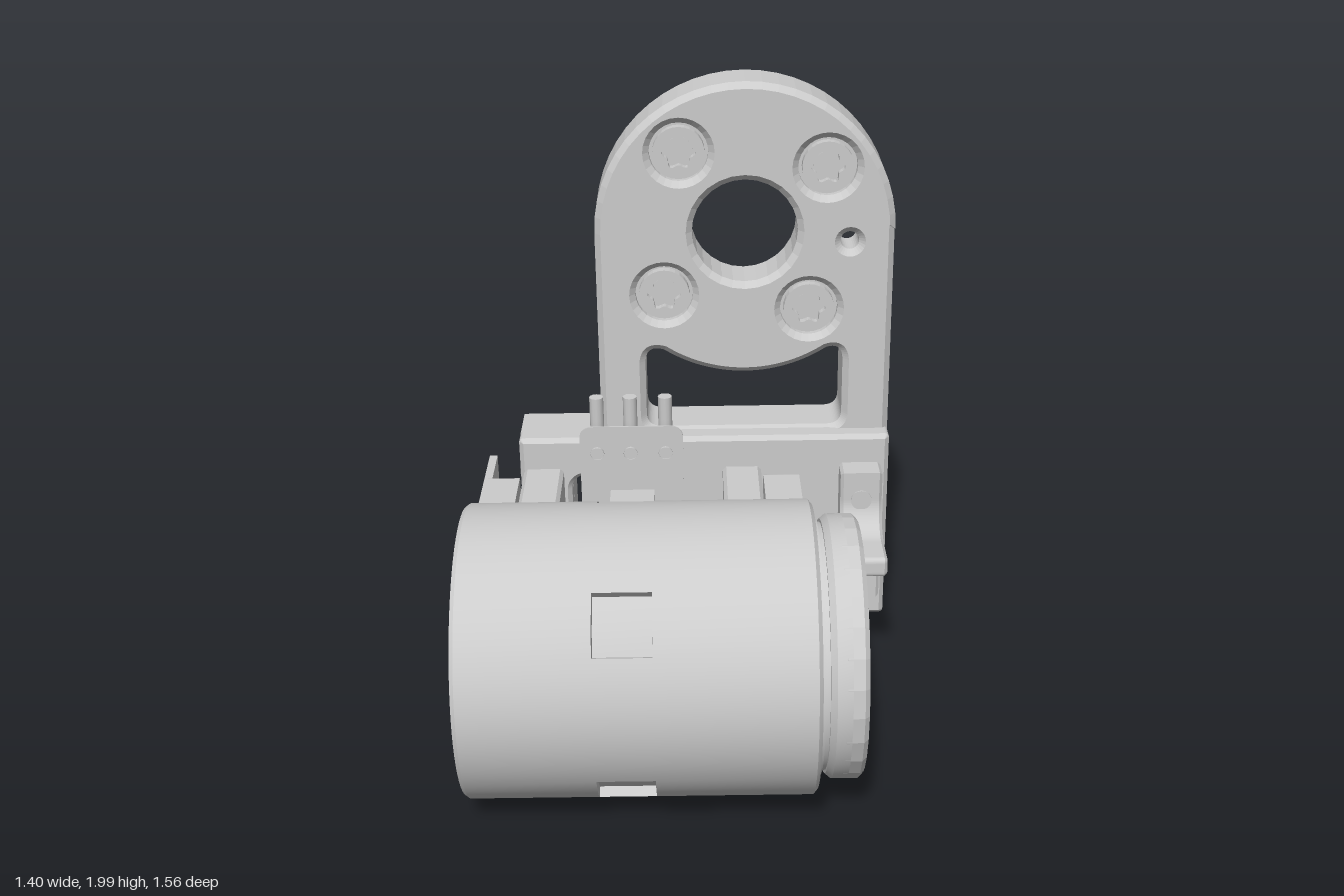
import * as THREE from 'three';
import { toCreasedNormals } from 'three/addons/utils/BufferGeometryUtils.js';

const material = new THREE.MeshStandardMaterial({ color: 0xcccccc, side: THREE.DoubleSide });
const PI = Math.PI, deg = PI / 180;

function add(parent, name, geometry, x = 0, y = 0, z = 0) {
  const mesh = new THREE.Mesh(geometry, material);
  mesh.name = name;
  mesh.position.set(x, y, z);
  parent.add(mesh);
  return mesh;
}
function subgroup(parent, name, x = 0, y = 0, z = 0) {
  const g = new THREE.Group();
  g.name = name;
  g.position.set(x, y, z);
  parent.add(g);
  return g;
}
// Box given by its limits
function box(parent, name, x0, x1, y0, y1, z0, z1) {
  return add(parent, name, new THREE.BoxGeometry(x1 - x0, y1 - y0, z1 - z0), (x0 + x1) / 2, (y0 + y1) / 2, (z0 + z1) / 2);
}
const circle = (x, y, r, C = THREE.Path) => new C().absarc(x, y, r, 0, 2 * PI, false);
function roundRect(x0, y0, x1, y1, r, C = THREE.Path) {
  const p = new C();
  p.absarc(x1 - r, y1 - r, r, 0, PI / 2);
  p.absarc(x0 + r, y1 - r, r, PI / 2, PI);
  p.absarc(x0 + r, y0 + r, r, PI, 1.5 * PI);
  p.absarc(x1 - r, y0 + r, r, 1.5 * PI, 2 * PI);
  p.closePath();
  return p;
}
// Extrude from z0 to z1 with an optional chamfer that keeps the outline size
function slab(shape, holes, z0, z1, bevel = 0) {
  shape.holes = holes;
  const g = new THREE.ExtrudeGeometry(shape, {
    depth: z1 - z0 - 2 * bevel, curveSegments: 14, bevelEnabled: bevel > 0,
    bevelThickness: bevel, bevelSize: bevel, bevelOffset: -bevel, bevelSegments: 1,
  });
  return g.translate(0, 0, z0 + bevel);
}
// Shapes drawn in (-z, y) and extruded along x
const slabX = (...args) => slab(...args).rotateY(PI / 2);
const latheX = (points) => toCreasedNormals(
  new THREE.LatheGeometry(points.map(([r, x]) => new THREE.Vector2(r, x)), 64).rotateZ(-PI / 2), 0.5);
const ring = (n, r, start, size, step = 2 * PI / n) =>
  Array.from({ length: n }, (_, i) => circle(r * Math.cos(start + i * step), r * Math.sin(start + i * step), size));

// Six-lobed socket screw: head top at z = 0 facing +z, shaft behind it
function screw(parent, r, x, y, z, turnY, shaft) {
  const g = subgroup(parent, 'screw', x, y, z);
  g.rotation.y = turnY;
  const lobes = new THREE.Path(Array.from({ length: 48 }, (_, i) => {
    const a = i / 48 * 2 * PI, q = r * (0.58 + 0.09 * Math.cos(6 * a));
    return new THREE.Vector2(q * Math.cos(a), q * Math.sin(a));
  }));
  add(g, 'screwHead', slab(circle(0, 0, r, THREE.Shape), [lobes], -0.035, 0));
  add(g, 'screwShaft', new THREE.CylinderGeometry(0.045, 0.045, shaft, 20).rotateX(PI / 2), 0, 0, -shaft / 2 - 0.025);
  add(g, 'socketFloor', new THREE.CylinderGeometry(r * 0.9, r * 0.9, 0.01, 24).rotateX(PI / 2), 0, 0, -0.032);
}

const CX = 0.213, CY = 1.509, R = 0.488;
const frameOutline = () => {
  const s = new THREE.Shape();
  s.moveTo(0.698, 0.113);
  s.lineTo(0.698, CY);
  s.absarc(CX, CY, R, 0, PI, false);
  s.lineTo(CX - R, 0.8);
  s.lineTo(-0.553, 0.8);
  s.lineTo(-0.553, 0.113);
  s.closePath();
  return s;
};
const upperWindow = () => {
  const p = new THREE.Path();
  p.moveTo(-0.07, 0.82);
  p.lineTo(0.49, 0.82);
  p.quadraticCurveTo(0.54, 0.82, 0.54, 0.87);
  p.lineTo(0.54, 1.05);
  p.quadraticCurveTo(0.54, 1.12, CX + 0.27, 1.1);
  p.absarc(CX, CY, 0.49, -0.988, -2.153, true);
  p.quadraticCurveTo(-0.12, 1.12, -0.12, 1.05);
  p.lineTo(-0.12, 0.87);
  p.quadraticCurveTo(-0.12, 0.82, -0.07, 0.82);
  return p;
};
const lowerWindow = () => roundRect(-0.38, 0.25, 0.05, 0.67, 0.05);

function buildFrame(parent) {
  const frame = subgroup(parent, 'mountingFrame');
  const corners = [0, 1, 2, 3].map((i) => (38.5 + 90 * i) * deg)
    .map((a) => [CX + 0.339 * Math.cos(a), CY + 0.339 * Math.sin(a)]);
  const pin = [CX + 0.343 * Math.cos(-6 * deg), CY + 0.343 * Math.sin(-6 * deg)];
  const backScrews = [-0.48, 0.19, 0.59].flatMap((x) => [[x, 0.33], [x, 0.6]]);
  const windows = () => [upperWindow(), lowerWindow()];
  // Back layer with the round recess, core, and chamfered front layer
  add(frame, 'frameBack', slab(frameOutline(),
    [...windows(), circle(CX, CY, 0.425), ...backScrews.map(([x, y]) => circle(x, y, 0.095))], -0.67, -0.62));
  add(frame, 'frameCore', slab(frameOutline(), [...windows(), circle(CX, CY, 0.175), circle(...pin, 0.03)], -0.62, -0.53));
  add(frame, 'frameFront', slab(frameOutline(),
    [...windows(), circle(CX, CY, 0.172), circle(...pin, 0.03), ...corners.map(([x, y]) => circle(x, y, 0.095))],
    -0.58, -0.49, 0.02));
  add(frame, 'hubRing', slab(circle(CX, CY, 0.285, THREE.Shape), [circle(CX, CY, 0.175)], -0.65, -0.61));
  add(frame, 'hubLip', slab(circle(CX, CY, 0.245, THREE.Shape), [circle(CX, CY, 0.175)], -0.665, -0.64));
  for (const [x, y] of corners) screw(frame, 0.083, x, y, -0.5, 0, 0.19);
  for (const [x, y] of backScrews) screw(frame, 0.075, x, y, -0.66, PI, 0.1);
  // Thick base in front of the frame
  const base = roundRect(-0.553, 0.113, 0.698, 0.81, 0.015, THREE.Shape);
  add(frame, 'frameBase', slab(base, [lowerWindow()], -0.52, -0.43, 0.015));

  // Brackets bolted to the base
  for (const [x0, x1, tipX] of [[-0.54, -0.405, -0.405], [0.135, 0.265, 0.135]]) {
    add(frame, 'bracket', slabX(roundRect(0.15, 0.23, 0.45, 0.7, 0.02, THREE.Shape), [], x0, x1, 0.012));
    for (const y of [0.335, 0.6])
      add(frame, 'screwTip', new THREE.CylinderGeometry(0.045, 0.045, 0.06, 20).rotateZ(PI / 2), tipX, y, -0.24);
  }
  // Outer bracket: scalloped around the screws, leaving a central tongue
  const s = new THREE.Shape();
  s.moveTo(0.45, 0.23);
  s.lineTo(0.345, 0.23);
  s.lineTo(0.345, 0.33);
  s.absarc(0.24, 0.33, 0.105, 0, PI / 2, false);
  s.lineTo(0.14, 0.435);
  s.quadraticCurveTo(0.12, 0.435, 0.12, 0.455);
  s.lineTo(0.12, 0.485);
  s.quadraticCurveTo(0.12, 0.505, 0.14, 0.505);
  s.absarc(0.24, 0.61, 0.105, -PI / 2, 0, false);
  s.lineTo(0.345, 0.71);
  s.lineTo(0.45, 0.71);
  s.closePath();
  add(frame, 'outerBracket', slabX(s, [], 0.53, 0.67, 0.01));
  for (const y of [0.32, 0.61])
    add(frame, 'boltEnd', new THREE.CylinderGeometry(0.035, 0.035, 0.03, 20).rotateX(PI / 2), 0.6, y, -0.355);
}

// Cylinder wall with four shallow rectangular pockets
function motorShell() {
  const centres = [40, 120, 240, 320], eps = 0.01;
  const xs = [-0.645, -0.257 - 0.001, -0.257, -0.087, -0.087 + 0.001, 0.38];
  const angles = [];
  for (let a = 0; a <= 360; a += 4) {
    if (centres.some((c) => a === c - 12)) angles.push(a - eps);
    angles.push(a);
    if (centres.some((c) => a === c + 12)) angles.push(a + eps);
  }
  const g = new THREE.PlaneGeometry(1, 1, xs.length - 1, angles.length - 1);
  angles.forEach((a, row) => xs.forEach((x, col) => {
    const pocket = (col === 2 || col === 3) && centres.some((c) => Math.abs(a - c) <= 12);
    const r = pocket ? 0.415 : 0.446;
    g.attributes.position.setXYZ(row * xs.length + col, x, r * Math.sin(-a * deg), r * Math.cos(a * deg));
  }));
  return toCreasedNormals(g, 0.5);
}

function buildMotor(parent) {
  const motor = subgroup(parent, 'motor', 0, 0.463, 0.3325);
  add(motor, 'motorShell', motorShell());
  add(motor, 'closedEnd', latheX([[0, -0.65], [0.425, -0.65], [0.425, -0.657], [0.438, -0.657], [0.446, -0.645]]));
  add(motor, 'outputEnd', latheX([[0.446, 0.38], [0.432, 0.392], [0, 0.392]]));
  // Output flange with bolt holes, recessed disc and hub
  add(motor, 'flangeBody', latheX([[0.39, 0.385], [0.39, 0.403], [0.375, 0.403], [0.375, 0.417],
    [0.385, 0.417], [0.4, 0.435], [0.4, 0.48], [0, 0.48]]));
  add(motor, 'flangeRing', slabX(circle(0, 0, 0.4, THREE.Shape),
    [circle(0, 0, 0.272), ...ring(4, 0.336, PI / 4, 0.035), ...ring(2, 0.338, 0, 0.033)], 0.45, 0.528, 0.014));
  add(motor, 'outputDisc', slabX(circle(0, 0, 0.275, THREE.Shape), [circle(0, 0, 0.16), ...ring(5, 0.222, 0, 0.046)], 0.475, 0.508));
  add(motor, 'outputHub', slabX(circle(0, 0, 0.162, THREE.Shape), [circle(0, 0, 0.085)], 0.47, 0.516));

  // Mounting arms with counterbored screws
  const screwYs = [0.335, 0.6];
  const outline = () => roundRect(0.01, 0.217, 0.365, 0.705, 0.015, THREE.Shape);
  const bores = () => screwYs.map((y) => circle(0.24, y, 0.1));
  for (const [side, inner, mid, outer] of [[1, 0.27, 0.335, 0.39], [-1, -0.548, -0.6, -0.655]]) {
    const arm = subgroup(parent, side > 0 ? 'rightEndArm' : 'closedEndArm');
    add(arm, 'armPlate', slabX(outline(), [], Math.min(inner, mid), Math.max(inner, mid)));
    add(arm, 'armFace', slabX(outline(), bores(), Math.min(mid, outer), Math.max(mid, outer)));
    for (const y of screwYs) screw(arm, 0.07, mid + side * 0.035, y, -0.24, side * PI / 2, 0.1);
  }
  // Flat seat between the arms with raised pads
  box(parent, 'motorSeat', -0.56, 0.28, 0.22, 0.7, -0.07, 0.02);
  for (const [x0, x1] of [[-0.56, -0.48], [-0.43, -0.25], [-0.1, 0.08], [0.14, 0.28]])
    box(parent, 'seatPad', x0, x1, 0.22, 0.7, -0.11, -0.06);
}

function buildWiring(parent) {
  const wiring = subgroup(parent, 'connector');
  const board = roundRect(-0.337, 0.6, 0.003, 0.92, 0.04, THREE.Shape);
  add(wiring, 'circuitBoard', slab(board, [], -0.292, -0.286));
  box(wiring, 'plugHousing', -0.24, -0.095, 0.4, 0.69, -0.285, -0.2);
  box(wiring, 'plugBody', -0.23, -0.105, 0.4, 0.66, -0.2, -0.05);
  add(wiring, 'plugBar', new THREE.CylinderGeometry(0.016, 0.016, 0.26, 12).rotateZ(PI / 2), -0.17, 0.6, -0.215);
  // Bent pins
  for (const x of [-0.28, -0.17, -0.055]) {
    const path = new THREE.CatmullRomCurve3([[1.003, -0.34], [0.92, -0.34], [0.86, -0.34], [0.83, -0.325], [0.825, -0.28]]
      .map(([y, z]) => new THREE.Vector3(x, y, z)));
    add(wiring, 'pin', new THREE.TubeGeometry(path, 20, 0.023, 12));
    add(wiring, 'pinEnd', new THREE.CylinderGeometry(0.023, 0.023, 0.004, 12), x, 1.002, -0.34);
  }
  // Flat strip running past the closed end
  box(parent, 'flatStrip', -0.7, -0.672, 0.337, 0.585, -0.785, 0.22);
}

export function createModel() {
  const model = new THREE.Group();
  model.name = 'motorBracketAssembly';
  const assembly = subgroup(model, 'assembly');
  buildFrame(assembly);
  buildMotor(assembly);
  buildWiring(assembly);
  // The whole assembly leans very slightly
  assembly.rotation.z = 0.015;
  return model;
}
